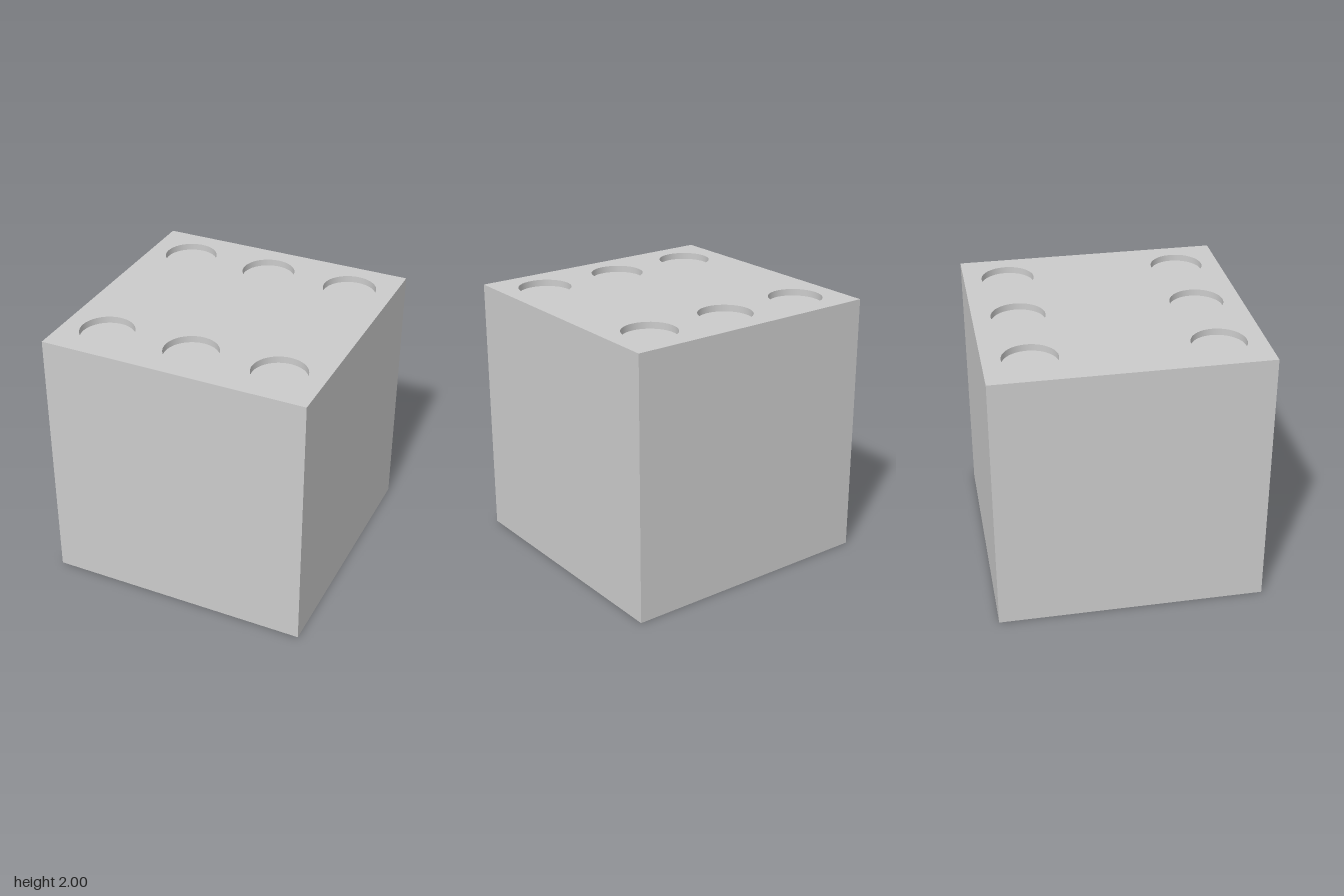
import * as THREE from 'three';

const SIZE = 2, PIP_RADIUS = 0.2, PIP_DEPTH = 0.05, PIP_OFFSET = 0.665, SEGMENTS = 64;

export function createModel() {
  const group = new THREE.Group();
  group.name = 'die';
  const material = new THREE.MeshStandardMaterial({ color: 0xcccccc });
  const add = (name, geometry, parent = group) => {
    const mesh = new THREE.Mesh(geometry, material);
    mesh.name = name;
    parent.add(mesh);
    return mesh;
  };

  // Centres of the six pips: two rows of three
  const pips = [];
  for (const z of [-PIP_OFFSET, PIP_OFFSET])
    for (const x of [-PIP_OFFSET, 0, PIP_OFFSET]) pips.push([x, z]);

  // Cube body without its top face (indices 12 to 17 of the box)
  const body = new THREE.BoxGeometry(SIZE, SIZE, SIZE);
  const index = Array.from(body.index.array);
  index.splice(12, 6);
  body.setIndex(index);
  body.clearGroups();
  add('body', body).position.y = SIZE / 2;

  // Top face with round openings
  const h = SIZE / 2;
  const face = new THREE.Shape([[-h, -h], [h, -h], [h, h], [-h, h]].map(p => new THREE.Vector2(...p)));
  for (const [x, z] of pips)
    face.holes.push(new THREE.Path().absarc(x, -z, PIP_RADIUS, 0, Math.PI * 2, true));
  const top = new THREE.ShapeGeometry(face, SEGMENTS / 2).rotateX(-Math.PI / 2);
  add('topFace', top).position.y = SIZE;

  // Recessed pips: an inward-facing wall and a flat floor
  const wall = new THREE.LatheGeometry(
    [new THREE.Vector2(PIP_RADIUS, 0), new THREE.Vector2(PIP_RADIUS, -PIP_DEPTH)], SEGMENTS);
  const floor = new THREE.CircleGeometry(PIP_RADIUS, SEGMENTS)
    .rotateX(-Math.PI / 2).translate(0, -PIP_DEPTH, 0);
  for (const [x, z] of pips) {
    const pip = new THREE.Group();
    pip.name = 'pip';
    pip.position.set(x, SIZE, z);
    add('pipWall', wall, pip);
    add('pipFloor', floor, pip);
    group.add(pip);
  }
  return group;
}
